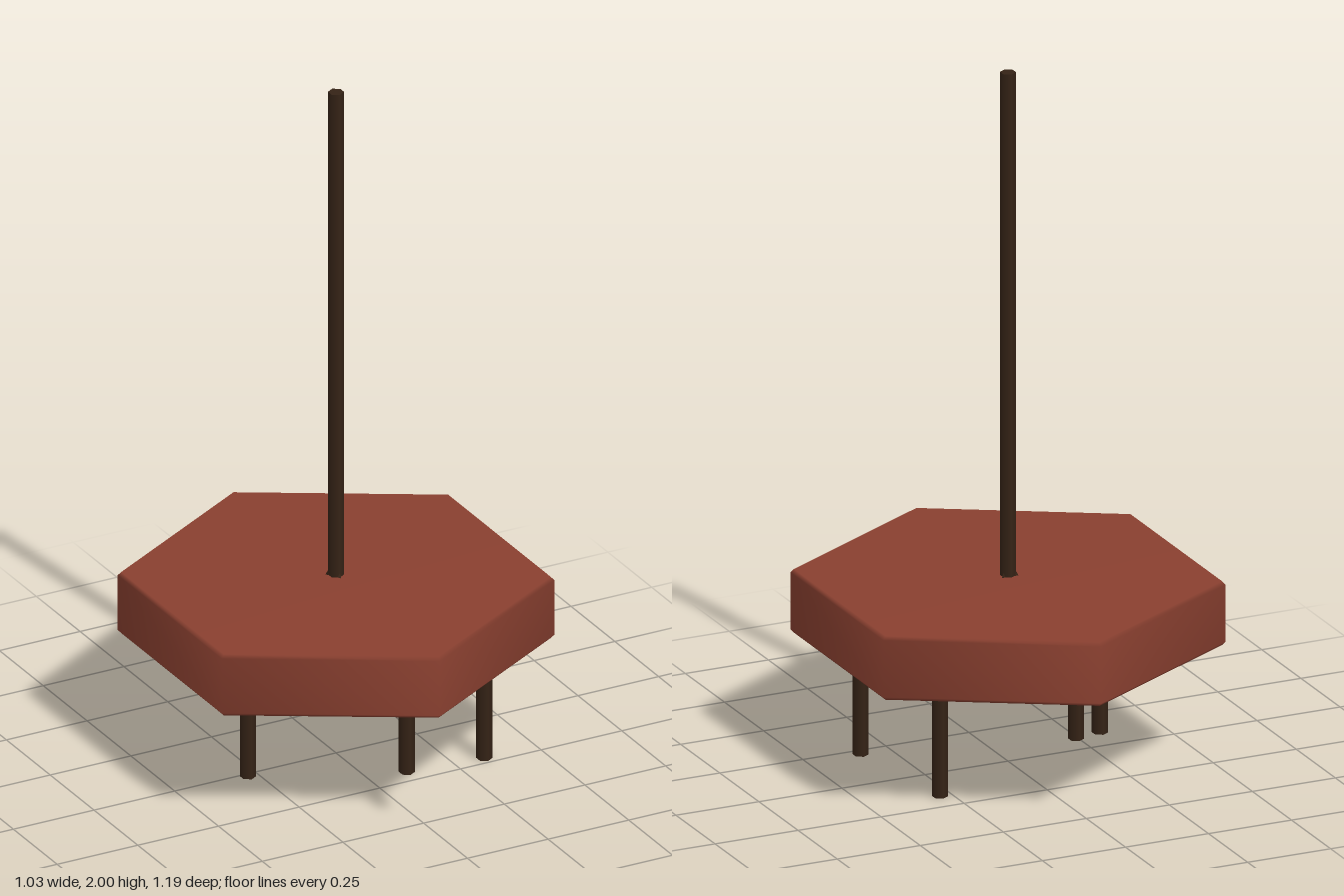
import * as THREE from 'three';

const clay = new THREE.MeshStandardMaterial({ color: 0x8a4030 });
const darkWood = new THREE.MeshStandardMaterial({ color: 0x352316 });

// Hexagonal rod between two heights, corners on the z axis
function rod(name, x, z, bottom, top) {
  const mesh = new THREE.Mesh(new THREE.CylinderGeometry(0.022, 0.022, top - bottom, 6), darkWood);
  mesh.position.set(x, (bottom + top) / 2, z);
  mesh.name = name;
  return mesh;
}

export function createModel() {
  const model = new THREE.Group();
  model.name = 'hexagonalSlabOnStilts';

  // Six-sided slab with a small softened rim
  const profile = [
    [0, 0.355], [0.585, 0.355], [0.595, 0.365],
    [0.595, 0.53], [0.585, 0.54], [0, 0.54],
  ].map(([r, y]) => new THREE.Vector2(r, y));
  const slab = new THREE.Mesh(new THREE.LatheGeometry(profile, 6), clay);
  slab.name = 'slab';
  model.add(slab);

  // Tall centre pole with a three-sided flare at its foot
  model.add(rod('pole', 0, 0, 0.52, 2));
  const flare = new THREE.Mesh(new THREE.CylinderGeometry(0.02, 0.031, 0.02, 3), darkWood);
  flare.position.y = 0.546;
  flare.name = 'poleFlare';
  model.add(flare);

  // Uneven legs: x, z, height of the foot
  const legs = [
    [-0.30, 0.05, 0.02],
    [-0.025, 0.45, 0.14],
    [-0.035, -0.36, 0.18],
    [0.34, 0.22, 0],
    [0.285, -0.17, 0],
  ];
  legs.forEach(([x, z, foot], i) => model.add(rod(`leg${i + 1}`, x, z, foot, 0.38)));

  return model;
}
